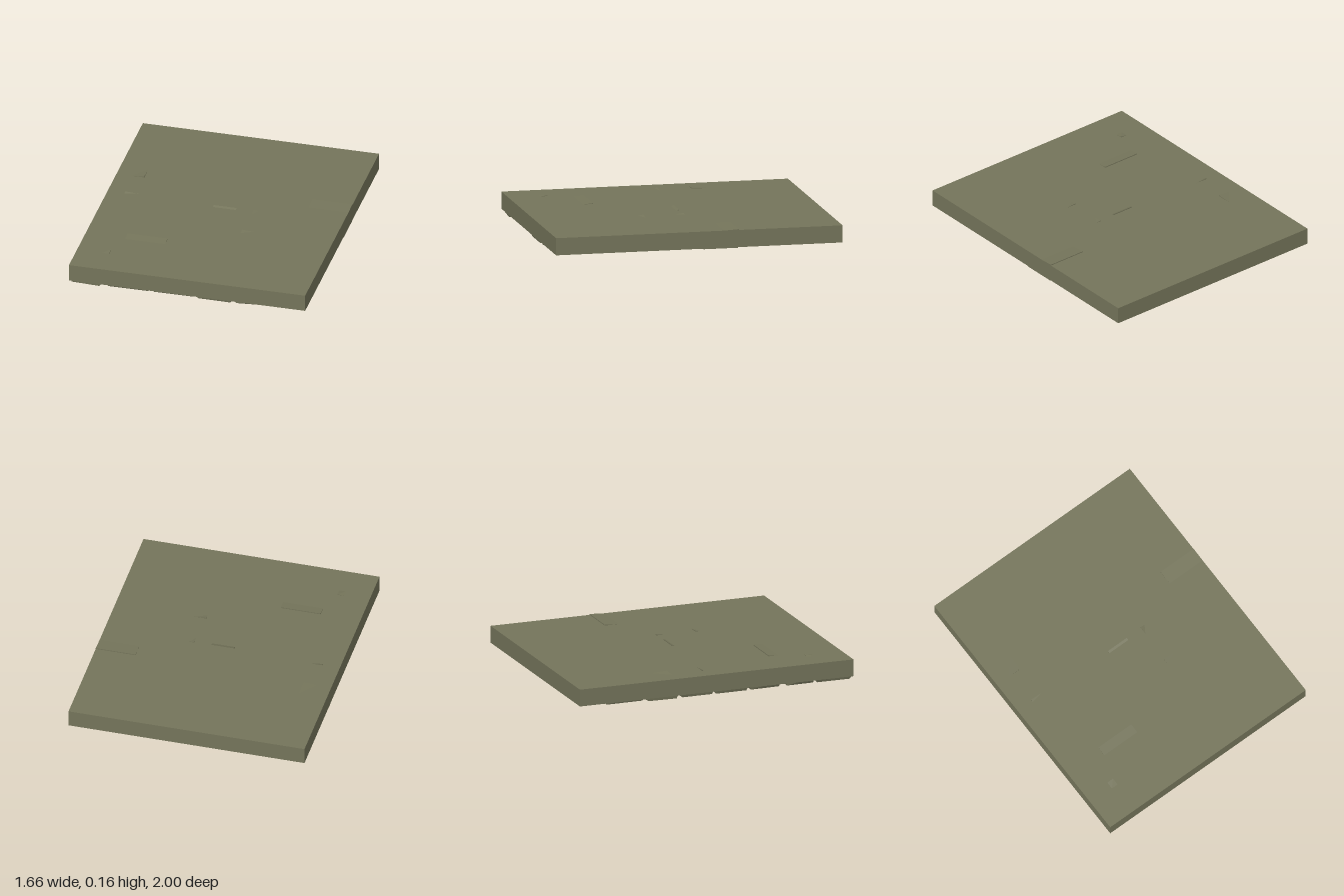
import * as THREE from 'three';

const SLAB_BOTTOM = 0.036, SLAB_TOP = 0.155;

export function createModel() {
  const group = new THREE.Group();
  group.name = 'pavingSlab';
  const stone = new THREE.MeshStandardMaterial({ color: 0x74745a, flatShading: true });
  stone.name = 'mossyStone';

  let seed = 11;
  const rand = () => (seed = (seed * 16807) % 2147483647) / 2147483647;
  const jitter = (a) => (rand() - 0.5) * 2 * a;

  // Six-sided block whose corners are placed by a rule(sx, sy, sz) with signs -1 or 1
  function block(name, rule) {
    const geo = new THREE.BoxGeometry(2, 2, 2);
    const p = geo.attributes.position;
    const corners = {};
    for (let i = 0; i < p.count; i++) {
      const s = [p.getX(i), p.getY(i), p.getZ(i)];
      const c = corners[s.join()] ??= rule(...s);
      p.setXYZ(i, ...c);
    }
    geo.computeVertexNormals();
    const mesh = new THREE.Mesh(geo, stone);
    mesh.name = name;
    group.add(mesh);
  }

  // Main slab
  block('slab', (x, y, z) => [x * 0.83, y < 0 ? SLAB_BOTTOM : SLAB_TOP, z]);

  // Cobbles under the slab: each row has its z range and x joints
  const rows = [
    [-0.80, -0.53, [[-0.45, -0.13], [-0.82, -0.6]]],
    [-0.51, -0.28, [[0.21, 0.53], [-0.09, 0.17], [-0.34, -0.12], [-0.65, -0.37], [-0.83, -0.68]]],
    [-0.27, -0.03, [[0.06, 0.33], [-0.21, 0.04], [-0.53, -0.24], [-0.83, -0.56]]],
    [-0.02, 0.22, [[0.22, 0.52], [-0.06, 0.2], [-0.33, -0.08], [-0.6, -0.35], [-0.83, -0.62]]],
    [0.24, 0.47, [[0.25, 0.47], [-0.09, 0.23], [-0.41, -0.11], [-0.66, -0.43], [-0.83, -0.68]]],
    [0.49, 0.71, [[0.06, 0.37], [-0.25, 0.04], [-0.55, -0.27], [-0.83, -0.57]]],
    [0.74, 1.0, [[0.33, 0.54], [0.06, 0.31], [-0.25, 0.04], [-0.58, -0.27], [-0.83, -0.6]]],
  ];
  let first = true;
  for (const [z0, z1, joints] of rows) {
    for (const [x0, x1] of joints) {
      const base = first ? 0 : 0.01 + rand() * 0.008;
      const shift = jitter(0.015);
      const clampX = (x) => Math.max(-0.83, x);
      const clampZ = (z) => Math.min(1, z);
      first = false;
      // Worn lower face, narrower than the part set in the slab
      block('cobble', (sx, sy, sz) => {
        const inset = sy < 0 ? 0.012 : 0;
        return [
          clampX((sx < 0 ? x0 : x1) - sx * inset + jitter(0.008)),
          sy < 0 ? base + rand() * 0.008 * (base > 0 ? 1 : 0) : 0.06,
          clampZ((sz < 0 ? z0 : z1) - sz * inset + shift + jitter(0.01)),
        ];
      });
    }
  }

  // Outlying cobble that barely shows below the slab
  block('sunkenCobble', (x, y, z) => [x < 0 ? 0.55 : 0.83, y < 0 ? 0.032 : 0.06, z < 0 ? -0.27 : -0.03]);

  // Cobble corners breaking through the top: x range, z range, raised x side, raised z side
  const bumps = [
    [0.55, 0.83, -0.275, -0.155, 0, -1],
    [-0.55, -0.27, 0.49, 0.57, 0, -1],
    [-0.74, -0.635, -0.42, -0.285, 1, 1],
    [-0.66, -0.605, 0.73, 0.79, 1, -1],
    [-0.71, -0.6, -0.06, -0.04, -1, -1],
    [-0.08, 0.08, -0.03, -0.01, 0, -1],
    [0.19, 0.29, 0.245, 0.29, -1, -1],
    [0.2, 0.24, -0.035, 0.03, -1, -1],
  ];
  for (const [x0, x1, z0, z1, hx, hz] of bumps) {
    block('raisedCorner', (x, y, z) => {
      const high = (hx === 0 || x === hx) && z === hz;
      return [x < 0 ? x0 : x1, y < 0 ? 0.12 : high ? 0.161 : 0.154, z < 0 ? z0 : z1];
    });
  }
  return group;
}
